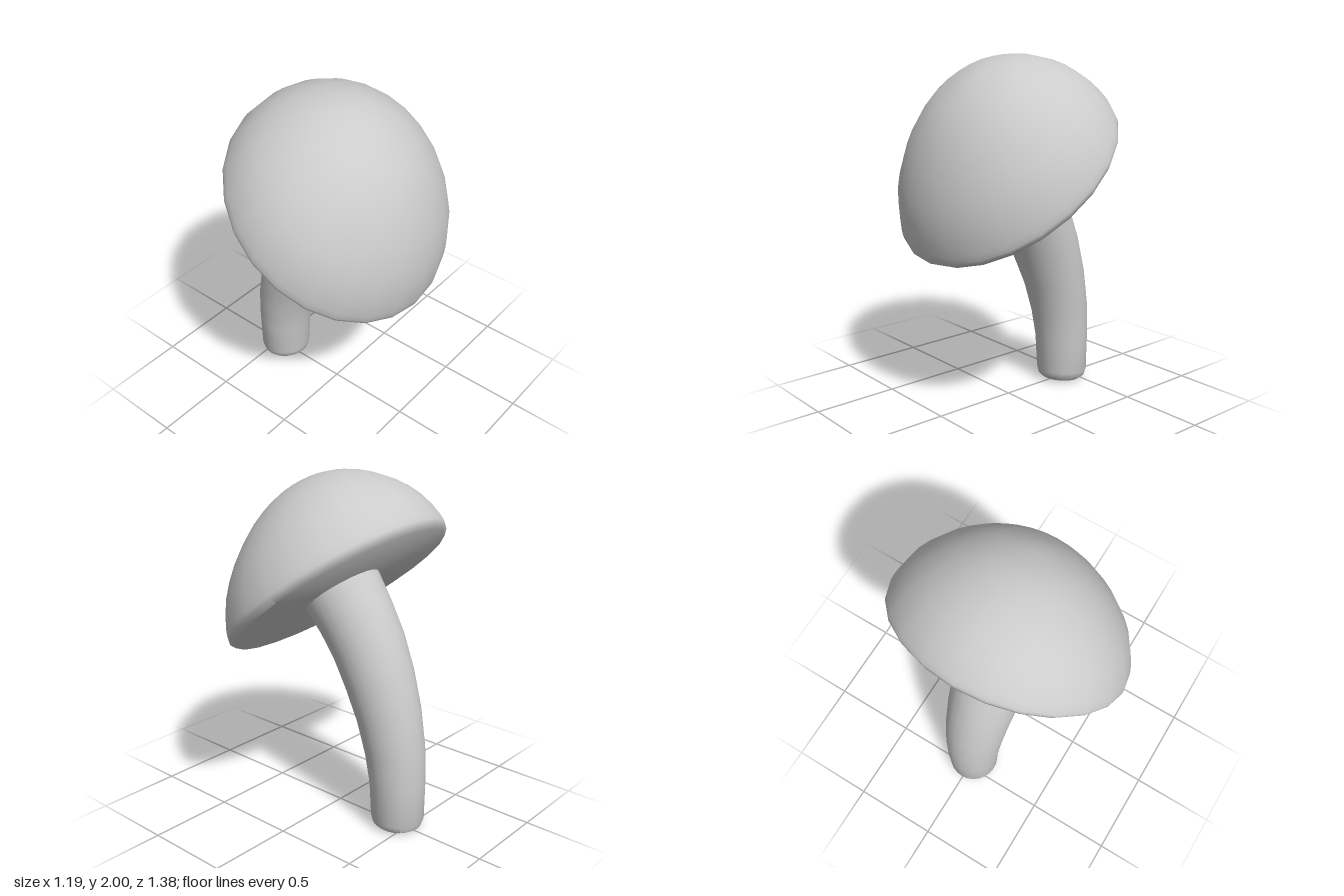
import * as THREE from 'three';
import { toCreasedNormals } from 'three/addons/utils/BufferGeometryUtils.js';

const SIDES = 24;
const material = new THREE.MeshStandardMaterial({ color: 0xcccccc });

// Domed cap with a flat underside: a lathe, leaned a little and tilted over
function createCap() {
  const dome = new THREE.SplineCurve([
    [0.69, 0.03], [0.684, 0.08], [0.625, 0.23], [0.513, 0.38],
    [0.367, 0.505], [0.2, 0.59], [0, 0.625],
  ].map(([r, y]) => new THREE.Vector2(r, y))).getPoints(12);
  dome[dome.length - 1].x = 0;
  const profile = [new THREE.Vector2(0, 0), new THREE.Vector2(0.665, 0), ...dome];

  const geometry = new THREE.LatheGeometry(profile, SIDES);
  const shear = new THREE.Matrix4().set(1, -0.2, 0, 0, 0, 1, 0, 0, 0, 0, 1, 0, 0, 0, 0, 1);
  geometry.applyMatrix4(shear);
  geometry.rotateZ(THREE.MathUtils.degToRad(-39));
  geometry.translate(0.002, 1.31, 0);
  const cap = new THREE.Mesh(toCreasedNormals(geometry, 0.85), material);
  cap.name = 'cap';
  return cap;
}

// Curved stem that widens upward, with a bevelled foot: a cylinder bent along rings
function createStem() {
  const rings = [ // x, y, radius
    [-0.43, 0.007, 0.12], [-0.433, 0.025, 0.143], [-0.435, 0.06, 0.153],
    [-0.43, 0.275, 0.16], [-0.408, 0.465, 0.172], [-0.36, 0.67, 0.185],
    [-0.29, 0.865, 0.199], [-0.21, 1.04, 0.209], [-0.115, 1.19, 0.218],
    [-0.015, 1.32, 0.23], [0, 1.34, 0.23],
  ];
  const last = rings.length - 1;
  const geometry = new THREE.CylinderGeometry(1, 1, 1, SIDES, last);
  const position = geometry.attributes.position;
  const tangent = new THREE.Vector2();

  for (let i = 0; i < position.count; i++) {
    const k = Math.round((position.getY(i) + 0.5) * last);
    const [x, y, radius] = rings[k];
    const before = rings[Math.max(k - 1, 0)];
    const after = rings[Math.min(k + 1, last)];
    if (k < 3) tangent.set(-0.06, 1).normalize();
    else tangent.set(after[0] - before[0], after[1] - before[1]).normalize();
    const across = position.getX(i) * radius;
    position.setXYZ(i, x + tangent.y * across, y - tangent.x * across, position.getZ(i) * radius);
  }
  const stem = new THREE.Mesh(toCreasedNormals(geometry, 0.65), material);
  stem.name = 'stem';
  return stem;
}

export function createModel() {
  const mushroom = new THREE.Group();
  mushroom.name = 'mushroom';
  mushroom.add(createCap(), createStem());
  return mushroom;
}
